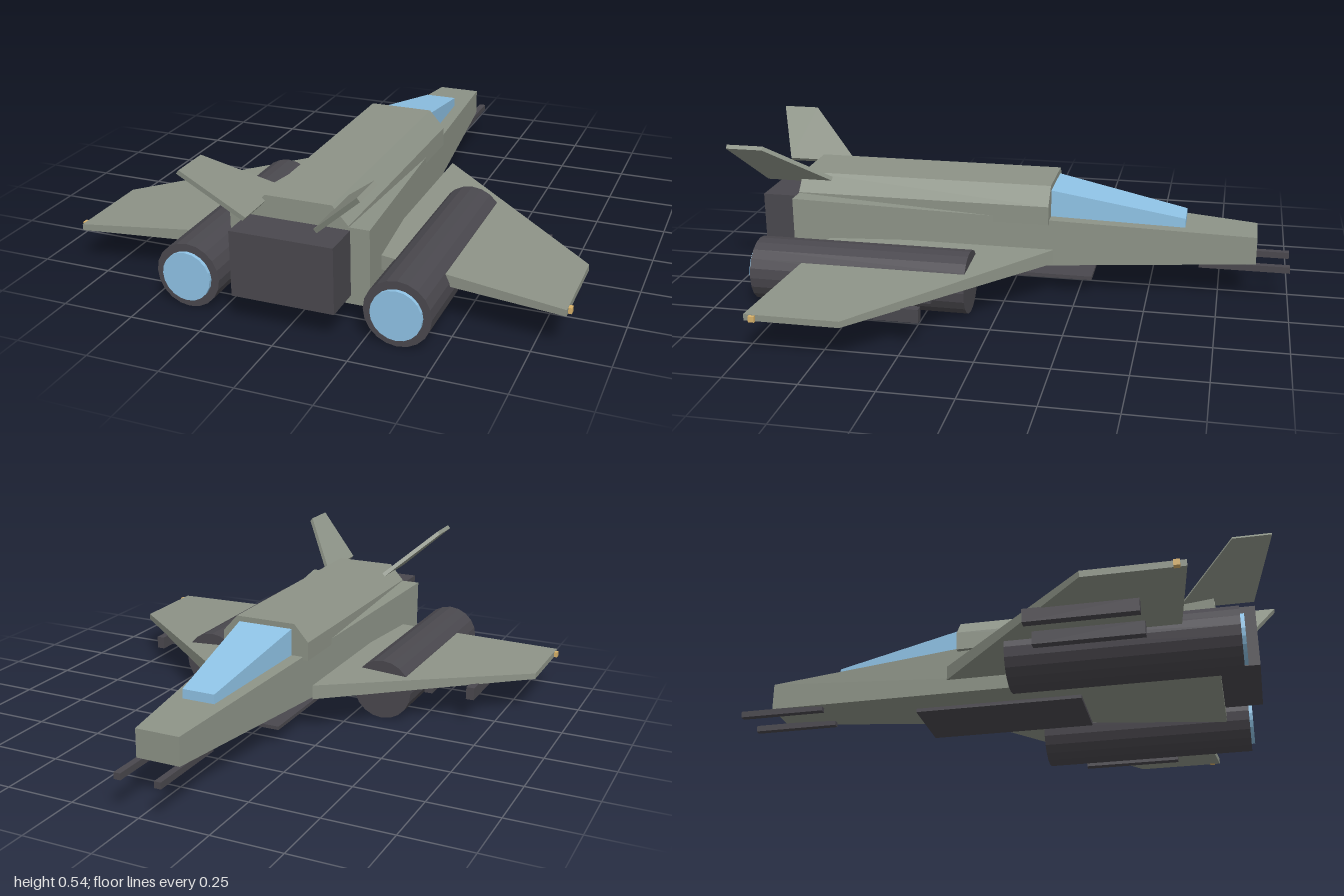
import * as THREE from 'three';
import { ConvexGeometry } from 'three/addons/geometries/ConvexGeometry.js';

const paint = (color) => new THREE.MeshStandardMaterial({ color, flatShading: true });

export function createModel() {
  const model = new THREE.Group();
  const hull = paint(0x8d9387);
  const dark = paint(0x4a484e);
  const blue = paint(0x8fc3e6);
  const amber = paint(0xd9b26a);

  const add = (name, geometry, material, x = 0, y = 0, z = 0) => {
    const mesh = new THREE.Mesh(geometry, material);
    mesh.name = name;
    mesh.position.set(x, y, z);
    model.add(mesh);
    return mesh;
  };

  // Flat-sided solid spanning a list of corners
  const solid = (name, corners, material) =>
    add(name, new ConvexGeometry(corners.map((c) => new THREE.Vector3(...c))), material);

  // Corners of a symmetric section: [halfWidth, y] pairs at depth z
  const section = (z, pairs) => pairs.flatMap(([w, y]) => [[w, y, z], [-w, y, z]]);

  // Box given by its centre x, width, and y and z ranges
  const block = (name, material, x, width, [y0, y1], [z0, z1]) =>
    add(name, new THREE.BoxGeometry(width, y1 - y0, z1 - z0), material, x, (y0 + y1) / 2, (z0 + z1) / 2);

  // Tapered body, nose towards -z
  solid('fuselage', [
    ...section(-0.88, [[0.08, 0.14], [0.08, 0.24]]),
    ...section(0.785, [[0.24, 0.07], [0.24, 0.335]]),
  ], hull);

  // Bevelled dorsal spine
  const spine = [[0.17, 0.27], [0.17, 0.338], [0.115, 0.4]];
  solid('dorsalSpine', [...section(-0.145, spine), ...section(0.785, spine)], hull);

  // Wedge canopy
  solid('canopy', [
    ...section(-0.625, [[0.06, 0.245], [0.06, 0.288]]),
    ...section(-0.145, [[0.105, 0.26], [0.105, 0.38]]),
  ], blue);

  block('mainExhaust', dark, 0, 0.35, [0.1, 0.325], [0.77, 0.92]);
  block('bellyPlate', dark, 0, 0.26, [0.055, 0.068], [-0.3, 0.3]);

  for (const s of [1, -1]) {
    const side = s > 0 ? 'left' : 'right';

    // Swept wing, thick at the root and thin at the tip
    solid(side + 'Wing', [
      ...[-0.17, 0.65].flatMap((z) => [[s * 0.2, 0.138, z], [s * 0.2, 0.19, z]]),
      ...[0.41, 0.73].flatMap((z) => [[s * 0.85, 0.13, z], [s * 0.85, 0.152, z]]),
    ], hull);
    block(side + 'WingTipLight', amber, s * 0.852, 0.02, [0.13, 0.15], [0.69, 0.71]);

    // Canted tail fin, thickness taken across its slope
    const fin = [[0.118, 0.373, 0.655], [0.118, 0.373, 0.92], [0.292, 0.535, 1], [0.292, 0.535, 0.865]];
    solid(side + 'TailFin', fin.flatMap(([x, y, z]) =>
      [-1, 1].map((k) => [s * (x - k * 0.005), y + k * 0.006, z])), hull);

    // Engine pod with glowing nozzle
    const pod = new THREE.CylinderGeometry(0.112, 0.112, 0.77, 20).rotateX(Math.PI / 2);
    add(side + 'Engine', pod, dark, s * 0.36, 0.112, 0.482);
    const glow = new THREE.CylinderGeometry(0.085, 0.085, 0.03, 20).rotateX(Math.PI / 2);
    add(side + 'EngineGlow', glow, blue, s * 0.36, 0.112, 0.865);

    // Underwing pylons and nose guns
    for (const x of [0.505, 0.665]) {
      block(side + 'Pylon', dark, s * x, 0.03, [0.088, 0.135], [0.2, 0.57]);
    }
    block(side + 'NoseGun', dark, s * 0.073, 0.024, [0.115, 0.138], [-1, -0.68]);
  }
  return model;
}
